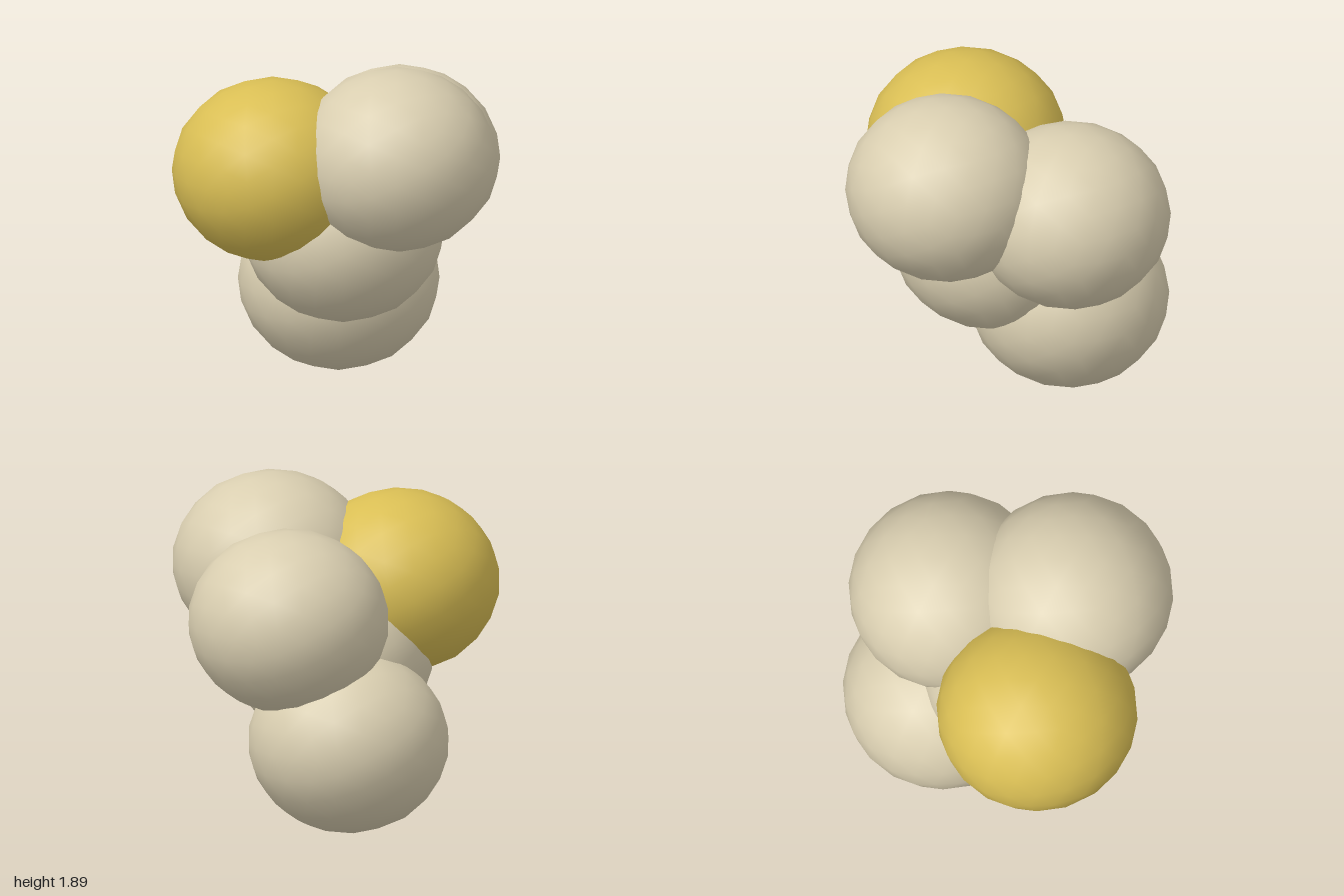
import * as THREE from 'three';

export function createModel() {
  const model = new THREE.Group();
  model.name = 'pebbleCluster';

  const beige = new THREE.MeshStandardMaterial({ color: 0xd9ceb0 });
  beige.name = 'pale beige';
  const gold = new THREE.MeshStandardMaterial({ color: 0xd9be54 });
  gold.name = 'golden yellow';

  // One slightly flattened, smooth-shaded ball shared by every lobe
  const ball = new THREE.IcosahedronGeometry(1, 3);
  ball.scale(0.557, 0.51, 0.557);

  const lobes = [
    ['coreLobe', beige, -0.045, 0.905, 0.0],
    ['upperFrontLobe', beige, 0.065, 1.38, 0.38],
    ['leftLobe', beige, 0.44, 1.2, -0.195],
    ['lowerBackLobe', beige, 0.157, 0.51, -0.375],
    ['goldenLobe', gold, -0.443, 1.283, -0.1],
  ];
  for (const [name, material, x, y, z] of lobes) {
    const lobe = new THREE.Mesh(ball, material);
    lobe.name = name;
    lobe.position.set(x, y, z);
    model.add(lobe);
  }
  return model;
}
